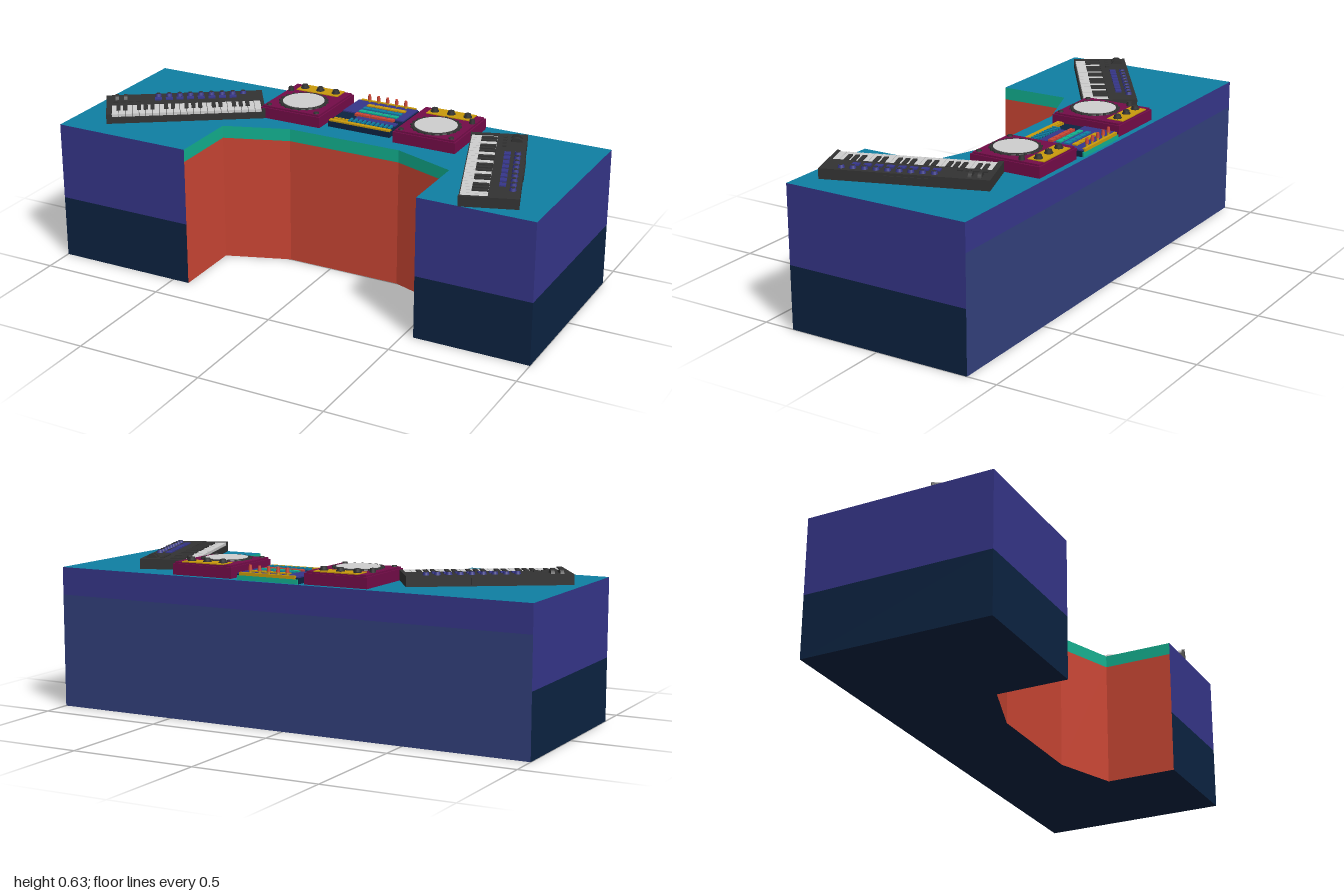
import * as THREE from 'three';

const mat = (name, color) => Object.assign(new THREE.MeshStandardMaterial({ color }), { name });
const M = {
  teal: mat('desk teal', 0x0f7fa3),
  indigo: mat('indigo', 0x36368a),
  navy: mat('navy', 0x0c2342),
  slate: mat('slate blue', 0x32407c),
  red: mat('red', 0xcb4634),
  green: mat('green', 0x12b08f),
  charcoal: mat('charcoal', 0x333333),
  maroon: mat('maroon', 0x730c48),
  white: mat('pale grey', 0xcfcfcf),
  gold: mat('gold', 0xc99a0c),
};
const TOP = 0.56;

function add(parent, name, geo, material, x = 0, y = 0, z = 0) {
  const m = new THREE.Mesh(geo, material);
  m.name = name;
  m.position.set(x, y, z);
  parent.add(m);
  return m;
}
// Box given by its x, y and z ranges
function box(parent, name, material, x0, x1, y0, y1, z0, z1) {
  return add(parent, name, new THREE.BoxGeometry(x1 - x0, y1 - y0, z1 - z0), material,
    (x0 + x1) / 2, (y0 + y1) / 2, (z0 + z1) / 2);
}
// Upright tapered cylinder standing on y
function knob(parent, name, material, x, y, z, r, h, taper = 0.8, sides = 12) {
  return add(parent, name, new THREE.CylinderGeometry(r * taper, r, h, sides), material, x, y + h / 2, z);
}
function group(parent, name, x = 0, y = 0, z = 0, turn = 0) {
  const g = new THREE.Group();
  g.name = name;
  g.position.set(x, y, z);
  g.rotation.y = turn;
  parent.add(g);
  return g;
}

// Desk: outline extruded as coloured bands, with a recess at the front
function buildDesk(root) {
  const desk = group(root, 'desk');
  const outline = [[-1, 0.375], [-0.43, 0.375], [-0.43, 0.09], [-0.18, 0], [0.29, 0],
    [0.54, 0.09], [0.54, 0.375], [1, 0.375], [1, -0.38], [-1, -0.38]];
  const outer = [['lowerPanel', M.navy, 0, 0.25], ['upperPanel', M.indigo, 0.25, TOP]];
  const inner = [['recessPanel', M.red, 0, 0.51], ['recessTrim', M.green, 0.51, TOP]];
  const back = [['backPanel', M.slate, 0, 0.45], ['backTrim', M.indigo, 0.45, TOP]];
  outline.forEach(([ax, az], i) => {
    const [bx, bz] = outline[(i + 1) % outline.length];
    const bands = i >= 1 && i <= 5 ? inner : i === 8 ? back : outer;
    for (const [name, material, y0, y1] of bands) {
      const wall = add(desk, name, new THREE.PlaneGeometry(Math.hypot(bx - ax, bz - az), y1 - y0),
        material, (ax + bx) / 2, (y0 + y1) / 2, (az + bz) / 2);
      wall.rotation.y = Math.atan2(az - bz, bx - ax);
    }
  });
  const face = (sign) => new THREE.ShapeGeometry(
    new THREE.Shape(outline.map(([x, z]) => new THREE.Vector2(x, sign * z))));
  add(desk, 'deskTop', face(-1), M.teal, 0, TOP, 0).rotation.x = -Math.PI / 2;
  add(desk, 'deskUnderside', face(1), M.navy).rotation.x = Math.PI / 2;
}

// Turntable deck; side mirrors the small outer controls
function buildDeck(root, name, x, side) {
  const g = group(root, name, x, TOP, -0.21);
  box(g, 'deckBody', M.maroon, -0.13, 0.13, 0, 0.043, -0.147, 0.147);
  box(g, 'deckLid', M.maroon, -0.124, 0.124, 0.043, 0.05, -0.141, 0.141);
  box(g, 'controlStrip', M.gold, -0.093, 0.093, 0.049, 0.053, -0.142, -0.074);
  for (const kx of [-0.07, 0, 0.07]) {
    knob(g, 'knobBase', M.charcoal, kx, 0.05, -0.106, 0.017, 0.006, 1);
    knob(g, 'knob', M.charcoal, kx, 0.05, -0.106, 0.015, 0.017);
  }
  // Platter with notches round the rim
  knob(g, 'platterRim', M.charcoal, 0, 0.05, 0.034, 0.095, 0.005, 0.98, 32);
  knob(g, 'platterDisc', M.white, 0, 0.05, 0.034, 0.083, 0.007, 1, 32);
  for (let i = 0; i < 20; i++) {
    const a = i / 20 * Math.PI * 2;
    knob(g, 'rimNotch', M.charcoal, Math.cos(a) * 0.093, 0.05, 0.034 + Math.sin(a) * 0.093, 0.007, 0.006, 0.9, 6);
  }
  knob(g, 'sideKnob', M.charcoal, side * 0.109, 0.05, -0.06, 0.012, 0.016);
  for (const s of [-1, 1]) knob(g, 'cornerButton', M.charcoal, s * 0.105, 0.05, 0.125, 0.011, 0.005, 0.9);
}

// Mixer between the decks
function buildMixer(root) {
  const g = group(root, 'mixer', 0.07, TOP, 0);
  box(g, 'mixerBase', M.navy, -0.133, 0.133, 0, 0.022, -0.362, -0.097);
  box(g, 'mixerPanel', M.indigo, -0.131, 0.131, 0.022, 0.027, -0.36, -0.22);
  box(g, 'mixerRearStrip', M.gold, -0.12, 0.12, 0.018, 0.03, -0.368, -0.356);
  box(g, 'mixerRearPlate', M.green, -0.13, 0.13, 0, 0.018, -0.368, -0.362);
  box(g, 'mixerFrontStrip', M.gold, -0.131, 0.131, 0.022, 0.028, -0.118, -0.1);
  // Rows of coloured pads
  [[-0.31, M.gold], [-0.275, M.teal], [-0.24, M.green], [-0.205, M.red]].forEach(([z, material]) => {
    for (let i = 0; i < 5; i++) {
      const x = -0.052 + i * 0.034;
      box(g, 'pad', material, x - 0.015, x + 0.015, 0.022, 0.032, z - 0.01, z + 0.01);
    }
  });
  box(g, 'sliderPanel', M.indigo, -0.05, 0.125, 0.022, 0.026, -0.19, -0.16);
  for (let i = 0; i < 10; i++) {
    const x = -0.055 + i * 0.019;
    box(g, 'slider', M.teal, x - 0.004, x + 0.004, 0.022, 0.03, -0.155, -0.122);
  }
  for (let i = 0; i < 4; i++) box(g, 'frontButton', M.gold, -0.12 + i * 0.016, -0.11 + i * 0.016, 0.022, 0.03, -0.135, -0.118);
  // Upright stalks at the rear
  for (let i = 0; i < 5; i++) {
    const x = -0.08 + i * 0.04;
    knob(g, 'stalk', M.gold, x, 0.025, -0.352, 0.005, 0.02, 1, 8);
    knob(g, 'stalkCap', M.red, x, 0.038, -0.352, 0.008, 0.02, 0.7, 8);
  }
}

// Keyboard, keys facing local +z
function buildKeyboard(root, name, x, z, turn) {
  const g = group(root, name, x, TOP, z, turn);
  box(g, 'keyboardBase', M.charcoal, -0.312, 0.312, 0, 0.026, -0.108, 0.108);
  box(g, 'keyboardPanel', M.charcoal, -0.312, 0.312, 0.026, 0.04, -0.108, 0.004);
  box(g, 'leftCheek', M.charcoal, -0.312, -0.292, 0.026, 0.04, 0.004, 0.108);
  box(g, 'rightCheek', M.charcoal, 0.3, 0.312, 0.026, 0.04, 0.004, 0.108);
  box(g, 'rearSocketPlate', M.charcoal, -0.1, 0.07, 0.006, 0.03, -0.111, -0.108);

  const count = 22, step = 0.59 / count;
  for (let i = 0; i < count; i++) {
    const kx = -0.291 + i * step;
    box(g, 'whiteKey', M.white, kx + 0.001, kx + step - 0.001, 0.02, 0.037, 0.005, 0.103);
    if (i < count - 1 && [0, 1, 3, 4, 5].includes(i % 7)) {
      box(g, 'blackKey', M.charcoal, kx + step - 0.008, kx + step + 0.008, 0.03, 0.042, 0.005, 0.064);
    }
  }
  // Dials along the rear and pads in front of them
  for (let i = 0; i < 9; i++) {
    const kx = -0.105 + i * 0.0425;
    knob(g, 'dial', M.indigo, kx, 0.04, -0.08, 0.013, 0.011, 0.75);
    knob(g, 'dialCap', M.charcoal, kx, 0.051, -0.08, 0.008, 0.0015, 1);
    if (i < 8) box(g, 'padButton', M.indigo, kx - 0.014, kx + 0.014, 0.04, 0.045, -0.054, -0.03);
  }
  // Wheels and buttons at the left end
  for (const [wx, wz] of [[-0.27, -0.07], [-0.235, -0.07]]) {
    const wheel = add(g, 'wheel', new THREE.CylinderGeometry(0.024, 0.024, 0.014, 16), M.charcoal, wx, 0.032, wz);
    wheel.rotation.z = Math.PI / 2;
  }
  for (let i = 0; i < 4; i++) box(g, 'smallButton', M.charcoal, -0.285 + i * 0.03, -0.265 + i * 0.03, 0.04, 0.045, -0.033, -0.018);
}

export function createModel() {
  const root = new THREE.Group();
  root.name = 'musicDesk';
  buildDesk(root);
  buildDeck(root, 'rightDeck', -0.214, -1);
  buildDeck(root, 'leftDeck', 0.363, 1);
  buildMixer(root);
  buildKeyboard(root, 'rightKeyboard', -0.643, 0.023, 0.588);
  buildKeyboard(root, 'leftKeyboard', 0.7, 0.048, -1.232);
  return root;
}
